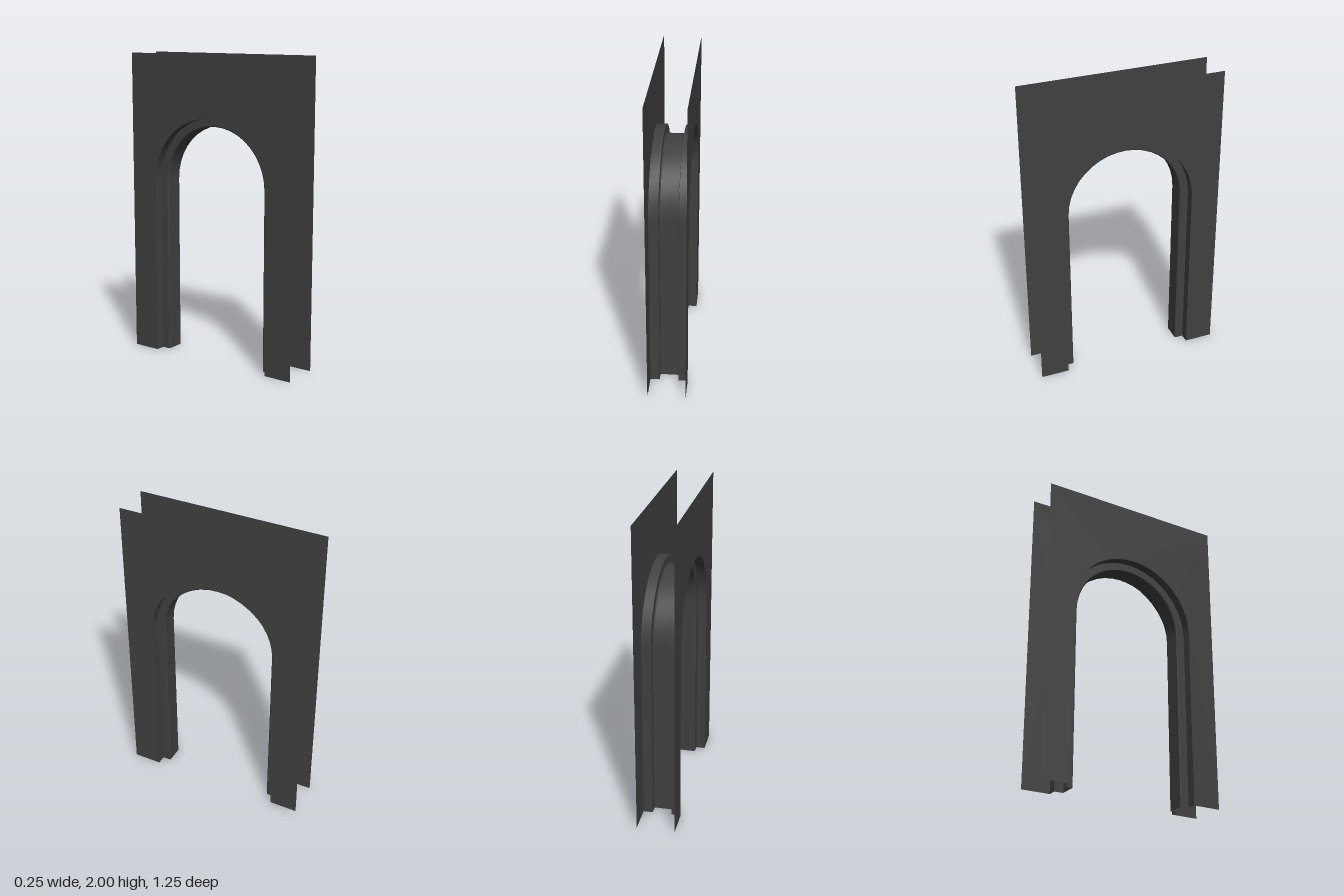
import * as THREE from 'three';

const OUTER = 0.437, INNER = 0.38; // half widths of the stepped opening
const SPRING = 1.165;              // height where the arch begins
const HALF_W = 0.625, TOP = 2, FACE_X = 0.123, STEP_X = 0.062;
const SEGMENTS = 20;

// Outline of the opening at a given half width, as [z, y] points
function archPath(r) {
  const points = [[r, 0]];
  for (let i = 0; i <= SEGMENTS; i++) {
    const a = (Math.PI * i) / SEGMENTS;
    points.push([r * Math.cos(a), SPRING + r * Math.sin(a)]);
  }
  points.push([-r, 0]);
  return points;
}

// Ribbon between two profile points [x, half width], swept round the opening
function archRibbon([xa, ra], [xb, rb]) {
  const a = archPath(ra), b = archPath(rb);
  const positions = [], index = [];
  a.forEach(([z, y], i) => {
    positions.push(xa, y, z, xb, b[i][1], b[i][0]);
    if (i > 0) {
      const k = 2 * i;
      index.push(k - 2, k - 1, k, k, k - 1, k + 1);
    }
  });
  const geometry = new THREE.BufferGeometry();
  geometry.setAttribute('position', new THREE.Float32BufferAttribute(positions, 3));
  geometry.setIndex(index);
  geometry.computeVertexNormals();
  return geometry;
}

export function createModel() {
  const group = new THREE.Group();
  const charcoal = new THREE.MeshStandardMaterial({ color: 0x404040, side: THREE.DoubleSide });
  charcoal.name = 'charcoal';

  function add(name, geometry) {
    const mesh = new THREE.Mesh(geometry, charcoal);
    mesh.name = name;
    group.add(mesh);
    return mesh;
  }

  // Wall sheets: one outline that runs round the panel and back along the arch
  const outline = [[-HALF_W, 0], [-HALF_W, TOP], [HALF_W, TOP], [HALF_W, 0], ...archPath(OUTER)];
  const wallShape = new THREE.Shape(outline.map(([z, y]) => new THREE.Vector2(z, y)));
  for (const side of [1, -1]) {
    const wall = add(side > 0 ? 'leftWall' : 'rightWall', new THREE.ShapeGeometry(wallShape));
    wall.rotation.y = (side * Math.PI) / 2;
    wall.position.x = side * FACE_X;
  }

  // Stepped reveal with a small chamfer on each inner corner
  const bevel = 0.006;
  const half = [
    [FACE_X, OUTER],
    [STEP_X, OUTER],
    [STEP_X, INNER + bevel],
    [STEP_X - bevel, INNER],
  ];
  const profile = [...half, ...half.map(([x, r]) => [-x, r]).reverse()];
  const names = ['leftRebate', 'leftStep', 'leftChamfer', 'archSoffit', 'rightChamfer', 'rightStep', 'rightRebate'];
  names.forEach((name, i) => add(name, archRibbon(profile[i], profile[i + 1])));

  return group;
}
